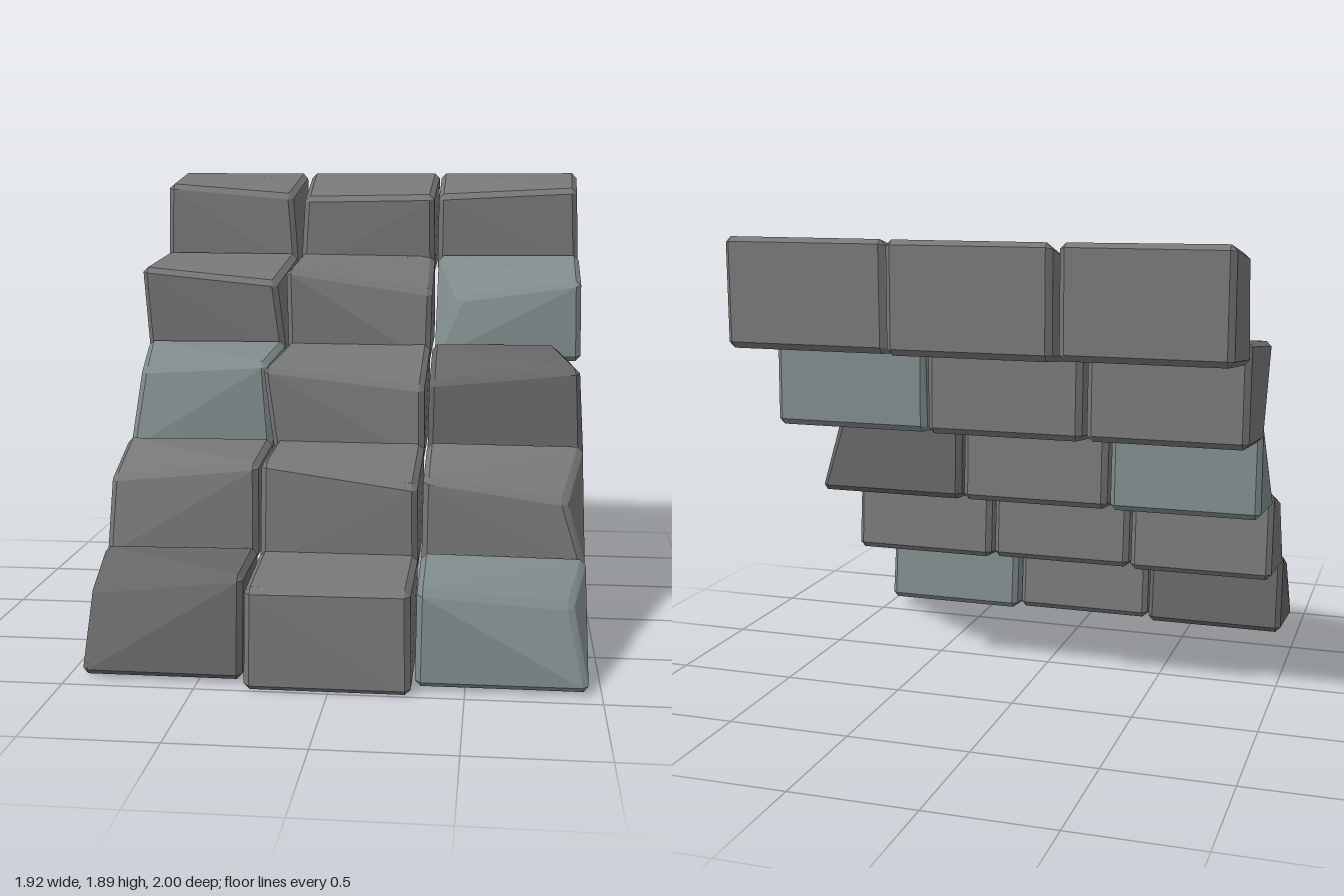
import * as THREE from 'three';
import { ConvexGeometry } from 'three/addons/geometries/ConvexGeometry.js';

const stone = new THREE.MeshStandardMaterial({ color: 0x777777, flatShading: true });
const blueStone = new THREE.MeshStandardMaterial({ color: 0x7f8a8b, flatShading: true });
const darkStone = new THREE.MeshStandardMaterial({ color: 0x666666, flatShading: true });

// Side limits of the three columns of blocks
const columns = [
  { name: 'Right', x: [-0.945, -0.33] },
  { name: 'Middle', x: [-0.315, 0.305] },
  { name: 'Left', x: [0.315, 0.955] },
];

// Uneven upper front edge of every block: its two ends as [x, y, z]
const steps = [
  [
    { a: [-0.93, 0.32, 0.81], b: [-0.33, 0.41, 0.9], mat: darkStone },
    { a: [-0.31, 0.39, 0.99], b: [0.3, 0.39, 0.98] },
    { a: [0.32, 0.38, 0.92], b: [0.89, 0.31, 0.81], mat: blueStone },
  ],
  [
    { a: [-0.93, 0.69, 0.5], b: [-0.33, 0.76, 0.55] },
    { a: [-0.31, 0.78, 0.59], b: [0.3, 0.7, 0.61] },
    { a: [0.32, 0.72, 0.55], b: [0.87, 0.64, 0.54] },
  ],
  [
    { a: [-0.9, 1.07, 0.1], b: [-0.36, 1.11, 0.16], mat: blueStone },
    { a: [-0.365, 1.1, 0.23], b: [0.3, 1.02, 0.18] },
    { a: [0.32, 1.04, 0.16], b: [0.94, 1.1, 0.15], mat: darkStone, backX: 0.84 },
  ],
  [
    { a: [-0.965, 1.48, -0.17], b: [-0.37, 1.42, -0.18] },
    { a: [-0.32, 1.48, -0.14], b: [0.31, 1.38, -0.23] },
    { a: [0.43, 1.35, -0.26], b: [0.95, 1.43, -0.21], mat: blueStone },
  ],
  [
    { a: [-0.93, 1.84, -0.57], b: [-0.36, 1.79, -0.61] },
    { a: [-0.29, 1.78, -0.54], b: [0.3, 1.79, -0.52] },
    { a: [0.32, 1.79, -0.565], b: [0.94, 1.82, -0.58] },
  ],
];

// Box with eight free corners and chamfered edges; corner bits: 1 = x, 2 = y, 4 = z
function chamferedBlock(corners, bevel) {
  const points = [];
  corners.forEach((c, i) => {
    const inward = [1, 2, 4].map((bit) =>
      corners[i ^ bit].clone().sub(c).normalize().multiplyScalar(bevel));
    for (let k = 0; k < 3; k++) {
      points.push(c.clone().add(inward[(k + 1) % 3]).add(inward[(k + 2) % 3]));
    }
  });
  return new ConvexGeometry(points);
}

export function createModel() {
  const stairs = new THREE.Group();
  stairs.name = 'stoneStairs';
  steps.forEach((blocks, r) => {
    const step = new THREE.Group();
    step.name = `step${r + 1}`;
    blocks.forEach(({ a, b, mat = stone, backX }, c) => {
      const { name, x: [x0, x1] } = columns[c];
      const mid = c === 1;
      // Regular lower and back edges, climbing with each step
      const bottomBack = [0.06 + 0.355 * r, mid ? 0.55 - 0.3875 * r : 0.51 - 0.37 * r];
      const topBack = [0.43 + 0.366 * r, mid ? 0.59 - 0.395 * r : 0.555 - 0.38 * r];
      const bottomFront = [(mid ? 0 : 0.015) + 0.356 * r, mid ? 1 - 0.3875 * r : 0.94 - 0.382 * r];
      const corners = [
        [x0, ...bottomBack], [x1, ...bottomBack],
        [x0, ...topBack], [backX ?? x1, ...topBack],
        [x0, ...bottomFront], [x1, ...bottomFront],
        a, b,
      ].map((p) => new THREE.Vector3(...p));
      const block = new THREE.Mesh(chamferedBlock(corners, 0.022), mat);
      block.name = `stoneBlock${name}`;
      step.add(block);
    });
    stairs.add(step);
  });
  return stairs;
}
